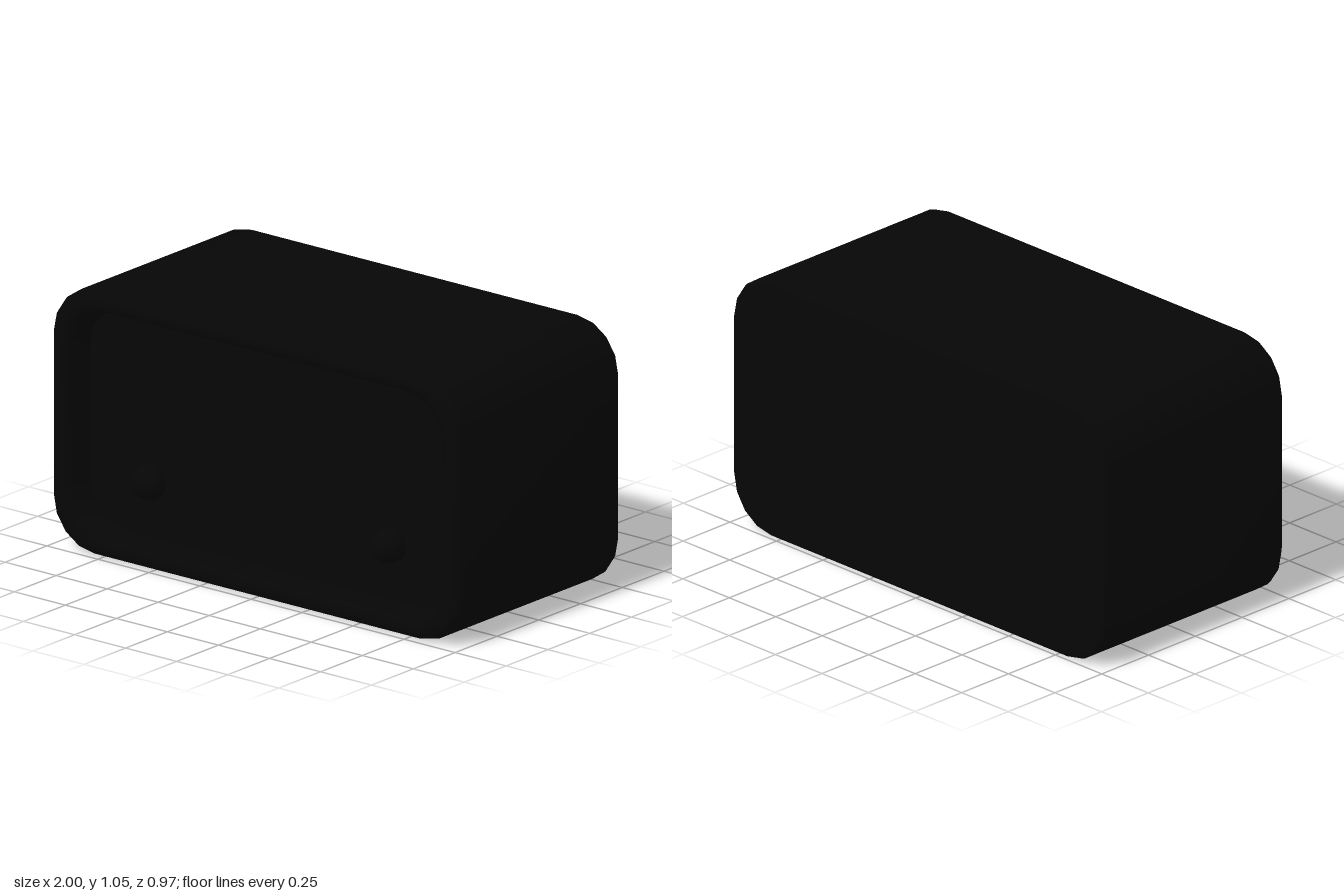
import * as THREE from 'three';
import { toCreasedNormals } from 'three/addons/utils/BufferGeometryUtils.js';

const W = 1, H = 0.5275, CY = 0.5275; // half width, half height, centre height

// Rounded-rectangle outline, counter-clockwise, shrunk by an inset
function outline(inset) {
  const hw = W - inset, hh = H - inset * 0.85, r = 0.2 - inset * 0.2, segs = 4;
  const pts = [];
  [[1, 1], [-1, 1], [-1, -1], [1, -1]].forEach(([sx, sy], q) => {
    for (let i = 0; i <= segs; i++) {
      const a = (q + i / segs) * Math.PI / 2;
      pts.push(new THREE.Vector2(sx * (hw - r) + r * Math.cos(a), CY + sy * (hh - r) + r * Math.sin(a)));
    }
  });
  return pts;
}

// Skin through outlines given as [inset, z], from back to front
function loft(sections) {
  const pos = [], index = [];
  sections.forEach(([inset, z]) => outline(inset).forEach(p => pos.push(p.x, p.y, z)));
  const n = pos.length / 3 / sections.length;
  for (let i = 0; i < sections.length - 1; i++) {
    for (let j = 0; j < n; j++) {
      const k = (j + 1) % n;
      const a = i * n + j, b = i * n + k, c = (i + 1) * n + k, d = (i + 1) * n + j;
      index.push(a, b, d, b, c, d);
    }
  }
  const g = new THREE.BufferGeometry();
  g.setAttribute('position', new THREE.Float32BufferAttribute(pos, 3));
  g.setIndex(index);
  return toCreasedNormals(g, 0.9);
}

// Flat panel filling an outline, facing +z
const panel = inset => new THREE.ShapeGeometry(new THREE.Shape(outline(inset)));

export function createModel() {
  const group = new THREE.Group();
  const black = new THREE.MeshStandardMaterial({ color: 0x060606 });
  const add = (name, geometry, x, y, z) => {
    const mesh = new THREE.Mesh(geometry, black);
    mesh.name = name;
    mesh.position.set(x, y, z);
    group.add(mesh);
  };

  // Casing: outer walls, rounded front rim and the inner wall of the recess
  add('casing', loft([
    [0.015, -0.485], [0.004, -0.481], [0, -0.47],
    [0, 0.445], [0.005, 0.465], [0.018, 0.48], [0.04, 0.486],
    [0.06, 0.486], [0.08, 0.475], [0.09, 0.455], [0.1, 0.365],
  ]), 0, 0, 0);

  // Flat back, turned to face -z
  add('backPanel', panel(0.015).rotateY(Math.PI), 0, 0, -0.485);

  // Recessed front panel
  add('frontPanel', panel(0.1), 0, 0, 0.365);

  // Two domed knobs
  add('rightKnob', new THREE.SphereGeometry(0.07, 24, 16), -0.595, 0.31, 0.38);
  add('leftKnob', new THREE.SphereGeometry(0.07, 24, 16), 0.58, 0.31, 0.38);

  return group;
}
